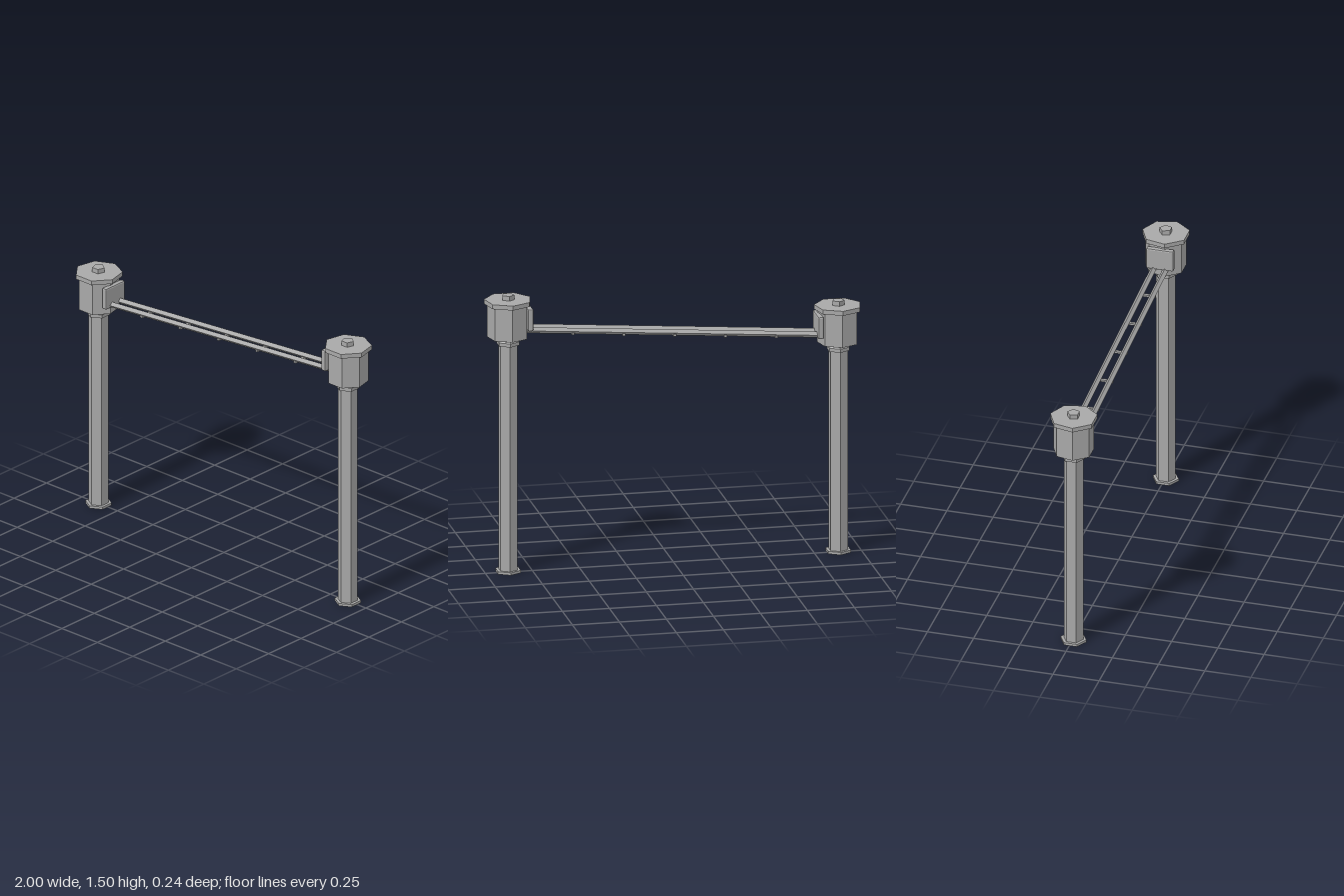
import * as THREE from 'three';
import { RoundedBoxGeometry } from 'three/addons/geometries/RoundedBoxGeometry.js';

export function createModel() {
  const model = new THREE.Group();
  model.name = 'poweredCrossing';
  const grey = new THREE.MeshStandardMaterial({ color: 0xa8a8a8, flatShading: true });
  grey.name = 'grey metal';

  const add = (parent, name, geometry, x = 0, y = 0, z = 0) => {
    const mesh = new THREE.Mesh(geometry, grey);
    mesh.name = name;
    mesh.position.set(x, y, z);
    parent.add(mesh);
    return mesh;
  };

  // Upright prism between two heights, one corner pointing to the back
  const prism = (parent, name, sides, rTop, rBottom, y0, y1) =>
    add(parent, name, new THREE.CylinderGeometry(rTop, rBottom, y1 - y0, sides, 1, false, Math.PI),
      0, (y0 + y1) / 2, 0);

  // One post with its base, collar, head, cap, knob and rail bracket
  const makePost = (name, side, lift) => {
    const post = new THREE.Group();
    post.name = name;
    post.position.set(side * 0.878, 0, 0.006);
    prism(post, 'base', 6, 0.07, 0.07, 0, 0.014);
    prism(post, 'column', 6, 0.053, 0.053, 0.014, 1.1 + lift);
    prism(post, 'collar', 6, 0.062, 0.062, 1.097 + lift, 1.116 + lift);
    prism(post, 'collarBevel', 6, 0.056, 0.062, 1.116 + lift, 1.122 + lift);
    prism(post, 'head', 7, 0.109, 0.109, 1.138 + lift, 1.32 + lift);
    prism(post, 'cap', 7, 0.126, 0.126, 1.317 + lift, 1.341 + lift);
    prism(post, 'knob', 5, 0.034, 0.034, 1.341 + lift, 1.366 + lift);
    add(post, 'bracket', new RoundedBoxGeometry(0.03, 0.12, 0.148, 1, 0.008),
      -side * 0.106, 1.24 + lift, 0);
    model.add(post);
  };
  makePost('rightPost', -1, 0);
  makePost('leftPost', 1, 0.139);

  // Sloping track: two diamond rails joined by cross ties underneath
  const track = new THREE.Group();
  track.name = 'track';
  track.position.set(0, 1.256, 0.002);
  track.rotation.z = Math.atan(0.0785);
  for (const side of [-1, 1]) {
    const rail = add(track, 'rail', new THREE.CylinderGeometry(0.016, 0.016, 1.575, 4), 0, 0, side * 0.032);
    rail.rotation.z = Math.PI / 2;
  }
  for (let i = -2; i <= 2; i++) {
    add(track, 'crossTie', new THREE.BoxGeometry(0.015, 0.012, 0.09), i * 0.271, -0.013, 0);
  }
  model.add(track);

  return model;
}
